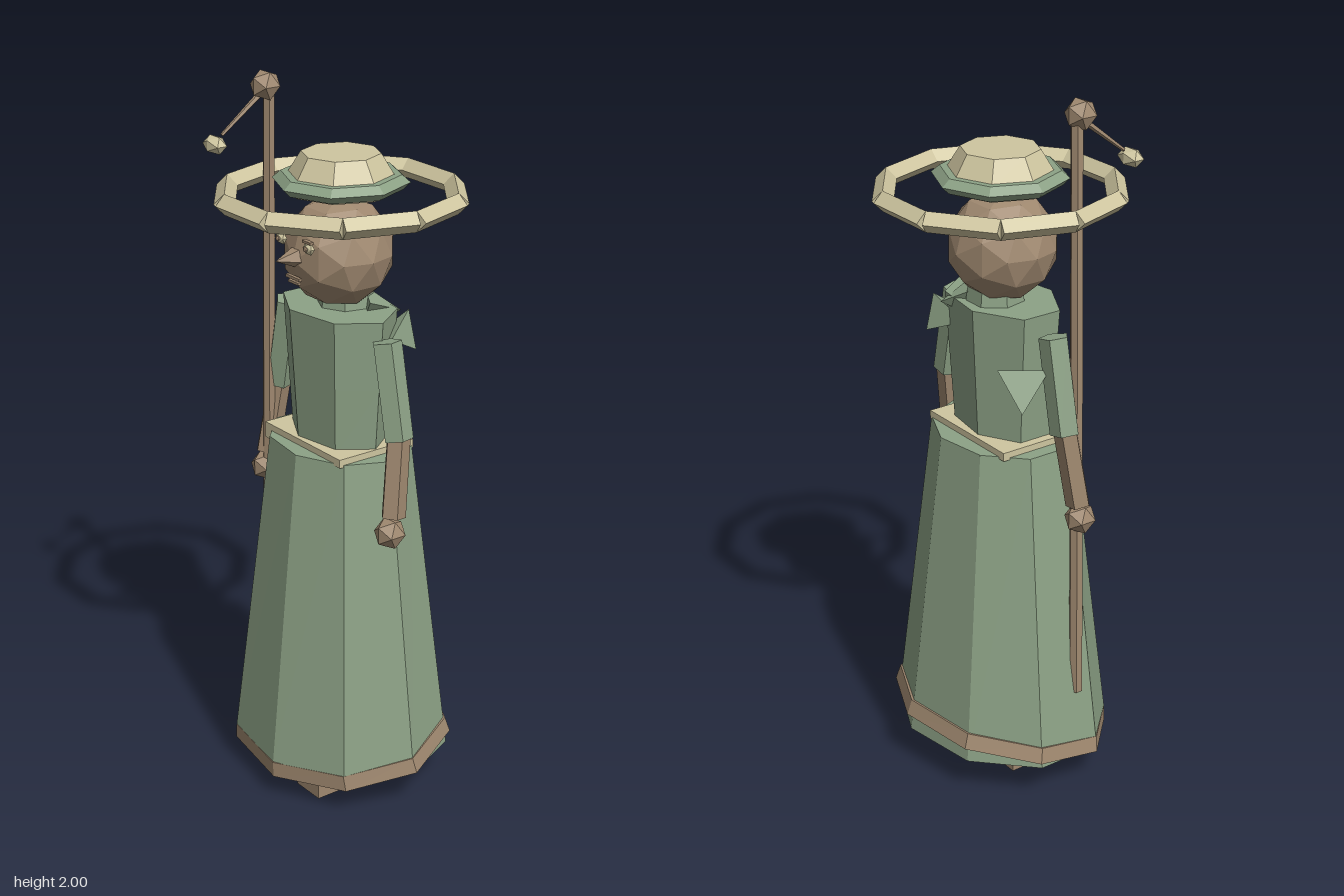
import * as THREE from 'three';

export function createModel() {
  const model = new THREE.Group();
  model.name = 'robedTraveller';
  const make = (name, color) => {
    const m = new THREE.MeshStandardMaterial({ color });
    m.name = name;
    return m;
  };
  const green = make('sage cloth', 0x8da286);
  const brown = make('brown wood and skin', 0xa08970);
  const cream = make('straw cream', 0xcfc6a0);

  // Facet a geometry and add it as a named mesh
  const add = (name, geo, mat, x = 0, y = 0, z = 0) => {
    const flat = geo.index ? geo.toNonIndexed() : geo;
    flat.computeVertexNormals();
    const mesh = new THREE.Mesh(flat, mat);
    mesh.name = name;
    mesh.position.set(x, y, z);
    model.add(mesh);
    return mesh;
  };
  // Oval frustum with one corner on +x
  const frustum = (topX, topZ, botX, botZ, h, sides, rows = 1) => {
    const geo = new THREE.CylinderGeometry(1, 1, h, sides, rows, false, Math.PI / 2);
    const p = geo.attributes.position;
    for (let i = 0; i < p.count; i++) {
      const t = p.getY(i) / h + 0.5;
      p.setX(i, p.getX(i) * THREE.MathUtils.lerp(botX, topX, t));
      p.setZ(i, p.getZ(i) * THREE.MathUtils.lerp(botZ, topZ, t));
    }
    return geo;
  };
  // Straight limb or pole between two points
  const limb = (name, mat, from, to, r0, r1, sides) => {
    const a = new THREE.Vector3(...from), b = new THREE.Vector3(...to);
    const dir = b.clone().sub(a);
    const mesh = add(name, new THREE.CylinderGeometry(r1, r0, dir.length(), sides), mat);
    mesh.position.copy(a).add(b).multiplyScalar(0.5);
    mesh.quaternion.setFromUnitVectors(new THREE.Vector3(0, 1, 0), dir.normalize());
    return mesh;
  };
  const ball = (r, detail = 0) => new THREE.IcosahedronGeometry(r, detail);
  const box = (w, h, d) => new THREE.BoxGeometry(w, h, d);

  // Robe: skirt, tilted hem, torso and belt
  add('skirt', frustum(0.228, 0.18, 0.347, 0.285, 0.91, 9), green, -0.006, 0.565, 0.006);
  add('hem', frustum(0.344, 0.288, 0.354, 0.295, 0.045, 9), brown, -0.006, 0.134, 0.004)
    .rotation.x = 0.174;
  add('torso', frustum(0.195, 0.135, 0.165, 0.113, 0.385, 7, 2), green, -0.003, 1.213, 0.011);
  add('belt', box(0.347, 0.024, 0.25), cream, -0.006, 1.026, 0.01);
  add('beltTab', box(0.025, 0.04, 0.02), cream, -0.166, 1.012, 0.125);

  // Shoes
  for (const x of [-0.113, 0.096]) add('shoe', box(0.102, 0.13, 0.265), brown, x, 0.065, 0.063);

  // Arms
  const cx = -0.009;
  for (const s of [1, -1]) {
    limb('upperArm', green, [cx + s * 0.272, 1.1, 0.014], [cx + s * 0.218, 1.36, 0.014], 0.042, 0.042, 5);
    limb('forearm', brown, [cx + s * 0.293, 0.89, 0.045], [cx + s * 0.272, 1.12, 0.013], 0.035, 0.034, 5);
    add('hand', ball(0.045), brown, cx + s * 0.291, 0.845, 0.053);
  }

  // Loose cloth points at the neck, shoulder and sleeve
  for (const [x, y, z, r, turn] of [
    [0.06, 1.4, -0.06, 0.075, 0.4],
    [0.13, 1.34, -0.09, 0.07, 1.3],
    [-0.19, 1.22, -0.055, 0.085, 2.2],
  ]) add('clothPoint', new THREE.TetrahedronGeometry(r), green, x, y, z).rotation.set(turn, turn * 0.7, turn * 0.4);

  // Head and face
  add('neck', new THREE.CylinderGeometry(0.075, 0.085, 0.08, 7), green, -0.005, 1.41, -0.015);
  add('head', ball(0.152, 1), brown, -0.008, 1.556, 0.007);
  for (const s of [1, -1]) {
    add('eye', ball(0.021), cream, -0.006 + s * 0.062, 1.602, 0.152).scale.set(1, 0.9, 0.6);
    add('pupil', ball(0.009), brown, -0.006 + s * 0.062, 1.602, 0.163).scale.z = 0.6;
    add('eyelid', box(0.036, 0.007, 0.012), brown, -0.006 + s * 0.062, 1.62, 0.155);
  }
  const nose = add('nose', new THREE.ConeGeometry(0.028, 0.065, 5), brown, -0.007, 1.563, 0.182);
  nose.rotation.x = Math.PI / 2;
  add('mouth', box(0.06, 0.008, 0.01), brown, -0.007, 1.508, 0.156);
  add('lowerLip', box(0.045, 0.007, 0.01), brown, -0.007, 1.495, 0.154);

  // Hat: crown, cloth band and a floating ring of rolled straw
  add('hatCrown', new THREE.CylinderGeometry(0.107, 0.148, 0.066, 8), cream, -0.007, 1.79, 0);
  add('hatBand', new THREE.CylinderGeometry(0.162, 0.185, 0.02, 8), green, -0.007, 1.758, 0);
  add('hatBandLower', new THREE.CylinderGeometry(0.185, 0.165, 0.02, 8), green, -0.007, 1.738, 0);
  add('hatLining', new THREE.CylinderGeometry(0.15, 0.145, 0.01, 8), cream, -0.007, 1.725, 0);
  for (let i = 0; i < 10; i++) {
    const a = i * Math.PI / 5;
    const roll = new THREE.CylinderGeometry(0.0285, 0.0285, 0.198, 4);
    roll.rotateZ(Math.PI / 2);
    add('hatRing', roll, cream, -0.007 + 0.304 * Math.sin(a), 1.709, 0.304 * Math.cos(a)).rotation.y = a;
  }

  // Staff with knob and hanging lamp
  limb('staff', brown, [-0.298, 0.3, 0.05], [-0.263, 1.95, 0.05], 0.02, 0.017, 6);
  add('staffKnob', ball(0.044), brown, -0.261, 1.962, 0.063);
  limb('lampArm', brown, [-0.264, 1.945, 0.07], [-0.268, 1.845, 0.2], 0.009, 0.005, 5);
  add('lamp', ball(0.034), cream, -0.27, 1.822, 0.222).scale.set(1.25, 0.8, 0.85);

  return model;
}
